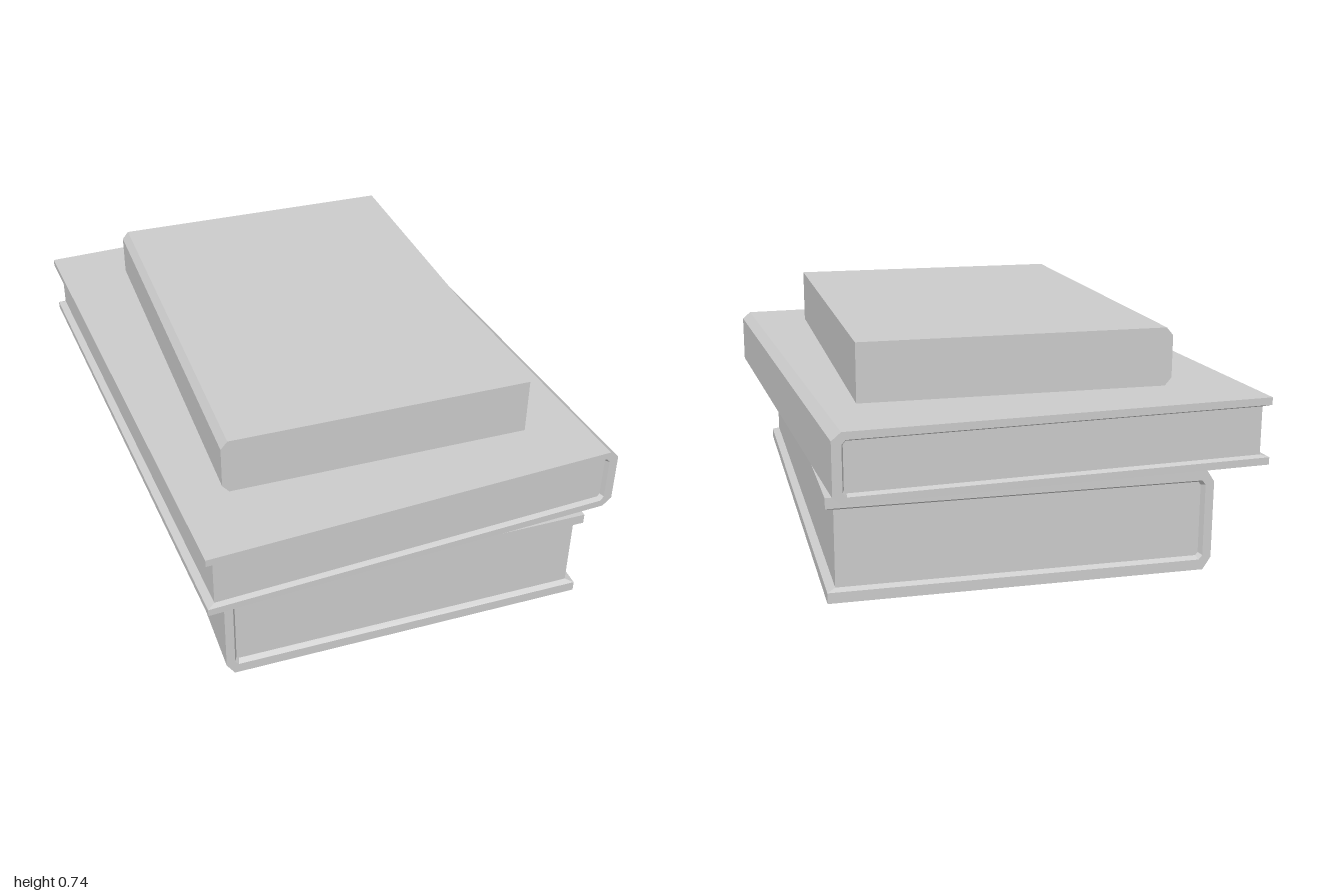
import * as THREE from 'three';

const material = new THREE.MeshStandardMaterial({ color: 0xcccccc, flatShading: true });

// Open C path running from the top fore edge, round the chamfered spine (-x), to the bottom fore edge
function spinePath(left, right, bottom, top, cx, cy) {
  return [
    [right, top], [left + cx, top], [left, top - cy],
    [left, bottom + cy], [left + cx, bottom], [right, bottom],
  ];
}

// Hardback: a wrap-round cover whose inner rim slopes in to the recessed page block
function hardback({ width, length, height, board, spine, slope, inset, foreInset, cx, cy }) {
  const w = width / 2, l = length / 2, s = board + slope;
  const outer = spinePath(-w, w, 0, height, cx, cy);
  const rim = spinePath(-w + spine, w, board, height - board, 0.012, 0.014);
  const deep = spinePath(-w + spine + slope, w - foreInset, s, height - s, 0.008, 0.01);
  const at = (path, z) => path.map(([x, y]) => [x, y, z]);
  const rows = [
    at(deep, l - inset), at(rim, l), at(outer, l),
    at(outer, -l), at(rim, -l), at(deep, -l + inset),
  ];

  const cover = [], pages = [];
  const quad = (out, a, b, c, d) => out.push(...a, ...b, ...c, ...a, ...c, ...d);

  // Cover skin, from the front recess over the outside to the back recess
  for (let j = 0; j < 5; j++)
    for (let k = 0; k < 5; k++)
      quad(cover, rows[j][k], rows[j + 1][k], rows[j + 1][k + 1], rows[j][k + 1]);

  // Fore edges of both boards, and their slopes down to the pages
  for (const [p, q] of [[2, 1], [1, 0]]) {
    quad(cover, rows[p][0], rows[q][0], rows[5 - q][0], rows[5 - p][0]);
    quad(cover, rows[5 - p][5], rows[5 - q][5], rows[q][5], rows[p][5]);
  }

  // Page block: fore edge and two ends
  const front = rows[0], back = rows[5];
  quad(pages, front[0], front[5], back[5], back[0]);
  for (let k = 1; k < 5; k++) {
    pages.push(...front[0], ...front[k], ...front[k + 1]);
    pages.push(...back[0], ...back[k + 1], ...back[k]);
  }

  const book = new THREE.Group();
  for (const [name, points] of [['cover', cover], ['pages', pages]]) {
    const geometry = new THREE.BufferGeometry();
    geometry.setAttribute('position', new THREE.Float32BufferAttribute(points, 3));
    geometry.computeVertexNormals();
    const mesh = new THREE.Mesh(geometry, material);
    mesh.name = name;
    book.add(mesh);
  }
  return book;
}

export function createModel() {
  const model = new THREE.Group();
  model.name = 'bookStack';

  // Thick book with its spine on -x
  const bottom = hardback({
    width: 1.215, length: 1.846, height: 0.33, board: 0.034, spine: 0.028,
    slope: 0.009, inset: 0.017, foreInset: 0.026, cx: 0.026, cy: 0.04,
  });
  bottom.name = 'bottomBook';
  bottom.position.set(0.0375, 0, 0.012);

  // Wide book turned round, spine on +x, lying slightly askew
  const middle = hardback({
    width: 1.388, length: 1.914, height: 0.218, board: 0.024, spine: 0.03,
    slope: 0.007, inset: 0.016, foreInset: 0.025, cx: 0.03, cy: 0.025,
  });
  middle.name = 'middleBook';
  middle.position.set(0, 0.332, 0);
  middle.rotation.y = Math.PI + 0.062;

  // Small plain book with a chamfered spine on -x
  const profile = new THREE.Shape(
    spinePath(-0.505, 0.515, 0.55, 0.74, 0.022, 0.026).map(([x, y]) => new THREE.Vector2(x, y)));
  const top = new THREE.Mesh(
    new THREE.ExtrudeGeometry(profile, { depth: 1.41, bevelEnabled: false }), material);
  top.name = 'topBook';
  top.position.z = -0.692;

  model.add(bottom, middle, top);
  return model;
}
